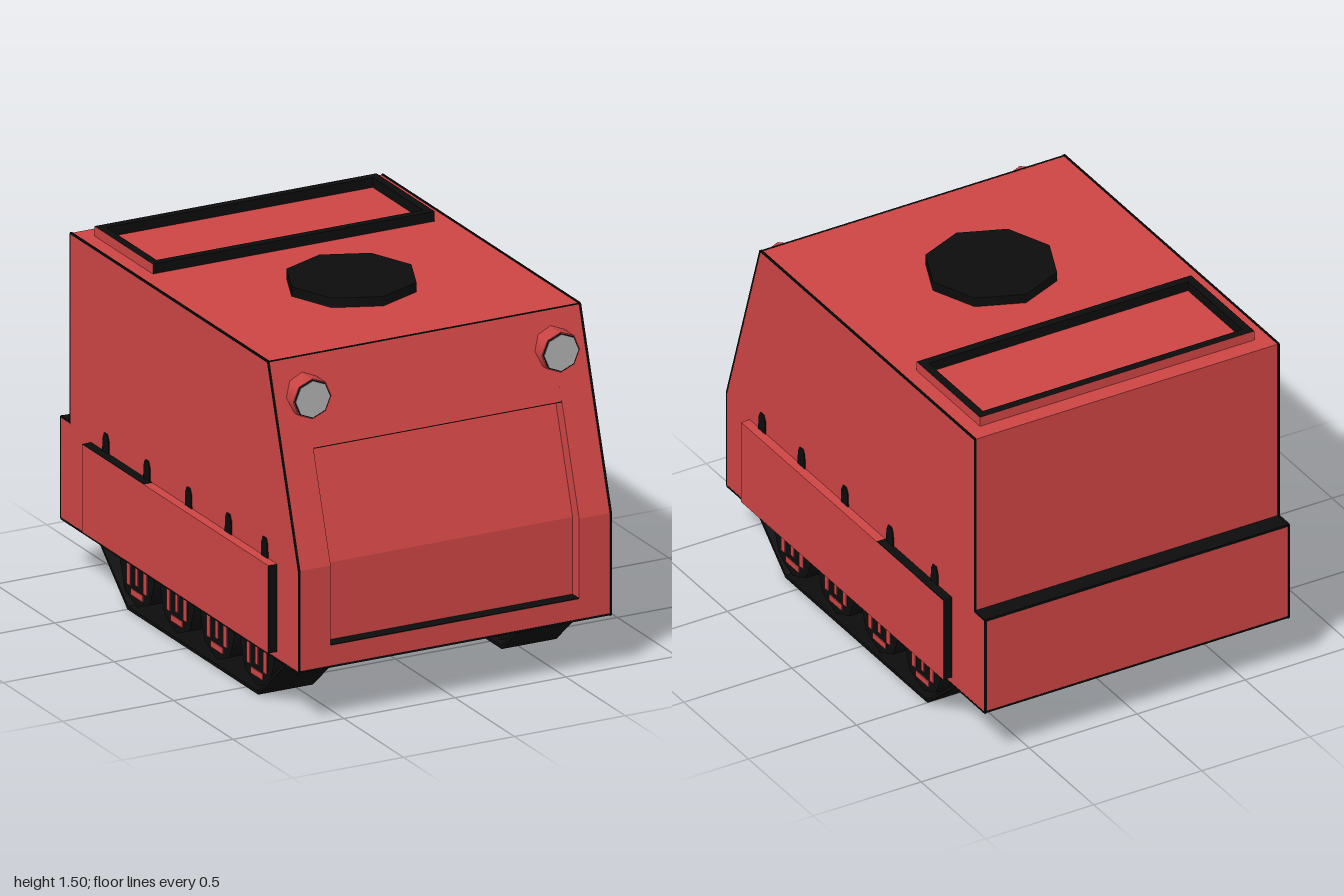
import * as THREE from 'three';

const mat = (name, color) => {
  const m = new THREE.MeshStandardMaterial({ color });
  m.name = name;
  return m;
};

export function createModel() {
  const red = mat('red paint', 0xcc4444);
  const black = mat('black', 0x0c0c0c);
  const grey = mat('lens grey', 0xb0b0b0);
  const root = new THREE.Group();
  root.name = 'trackedVehicle';

  const add = (name, geo, material, parent = root) => {
    const m = new THREE.Mesh(geo, material);
    m.name = name;
    parent.add(m);
    return m;
  };
  // Box given by its limits on each axis
  const box = (name, [x0, x1], [y0, y1], [z0, z1], material, parent) => {
    const g = new THREE.BoxGeometry(x1 - x0, y1 - y0, z1 - z0);
    g.translate((x0 + x1) / 2, (y0 + y1) / 2, (z0 + z1) / 2);
    return add(name, g, material, parent);
  };
  // Extrude a (z, y) outline across x0..x1
  const slab = (pts, x0, x1) => {
    const shape = new THREE.Shape(pts.map(([z, y]) => new THREE.Vector2(z, y)));
    const g = new THREE.ExtrudeGeometry(shape, { depth: x1 - x0, bevelEnabled: false });
    return g.rotateY(-Math.PI / 2).translate(x1, 0, 0);
  };

  // Hull: two full side sections and a middle section with the front recess
  const W = 0.705, R = 0.56;
  const rear = [[0.74, 1.463], [-0.92, 1.463], [-0.92, 0.66], [-1, 0.66], [-1, 0.228]];
  const profile = [[1, 0.228], [1, 0.66], ...rear];
  const recessed = [[1, 0.228], [1, 0.32], [0.945, 0.32], [0.945, 0.65],
    [0.802, 1.093], [0.854, 1.11], ...rear];
  add('hullLeft', slab(profile, R, W), red);
  add('hullRight', slab(profile, -W, -R), red);
  add('hullMiddle', slab(recessed, -R, R), red);

  // Dark floor and ceiling of the front recess
  box('recessFloor', [-R, R], [0.319, 0.323], [0.945, 0.999], black);
  add('recessCeiling', slab([[0.802, 1.089], [0.854, 1.106], [0.854, 1.11], [0.802, 1.093]], -R, R), black);

  // Dark step at the back and lower rear edge
  box('rearStep', [-W, W], [0.658, 0.663], [-1, -0.92], black);
  box('rearLowerEdge', [-W, W], [0.226, 0.23], [-1, -0.965], black);

  // Fine dark edge lines of the hull
  const E = 0.008;
  profile.forEach(([z, y], i) => {
    const [z2, y2] = profile[(i + 1) % profile.length];
    for (const s of [-1, 1]) {
      const line = add('edgeLine', new THREE.BoxGeometry(E, E, Math.hypot(z2 - z, y2 - y)), black);
      line.position.set(s * (W - 0.003), (y + y2) / 2, (z + z2) / 2);
      line.rotation.x = -Math.atan2(y2 - y, z2 - z);
    }
    if (i !== 1 && i !== 3) {
      const cross = add('crossEdgeLine', new THREE.BoxGeometry(2 * W, E, E), black);
      cross.position.set(0, y + (y > 0.5 ? -0.003 : 0.003), z - Math.sign(z) * 0.003);
    }
  });

  // Round roof hatch
  add('roofHatch', new THREE.CylinderGeometry(0.27, 0.27, 0.04, 8).translate(0, 1.484, 0.13), black);

  // Rectangular roof frame: red outside, black rim, front and inner walls
  const frame = new THREE.Group();
  frame.name = 'roofFrame';
  root.add(frame);
  const y0 = 1.46, y1 = 1.505;
  // Box face order: +x, -x, +y, -y, +z, -z
  box('frameFront', [-0.635, 0.635], [y0, y1], [-0.39, -0.355], [red, red, black, black, black, black], frame);
  box('frameBack', [-0.635, 0.635], [y0, y1], [-0.845, -0.81], [red, red, black, black, black, red], frame);
  box('frameLeft', [0.6, 0.635], [y0, y1], [-0.81, -0.39], [red, black, black, black, black, black], frame);
  box('frameRight', [-0.635, -0.6], [y0, y1], [-0.81, -0.39], [black, red, black, black, black, black], frame);

  for (const s of [-1, 1]) {
    const span = (a, b) => (s > 0 ? [a, b] : [-b, -a]);

    // Headlight
    const lamp = new THREE.Group();
    lamp.name = 'headlight';
    lamp.position.set(s * 0.56, 1.315, 0);
    root.add(lamp);
    const disc = (name, r, z0, z1, m) => add(name,
      new THREE.CylinderGeometry(r, r, z1 - z0, 8).rotateX(Math.PI / 2).translate(0, 0, (z0 + z1) / 2), m, lamp);
    disc('lampHousing', 0.086, 0.75, 0.846, red);
    disc('lampRim', 0.082, 0.845, 0.848, black);
    disc('lampLens', 0.077, 0.846, 0.851, grey);

    // Side skirt with dark ends and underside
    box('sideSkirt', span(0.7, 0.745), [0.26, 0.632], [-0.745, 0.82],
      [red, red, red, black, black, black]);
    box('skirtTopStrip', span(0.7, 0.745), [0.63, 0.634], [-0.744, -0.23], black);

    // Small round-topped tabs above the skirt
    for (const z of [0.72, 0.415, 0.08, -0.27, -0.615]) {
      const tab = [[-0.027, 0.63], [0.027, 0.63], [0.024, 0.69], [0.012, 0.714], [-0.012, 0.714], [-0.024, 0.69]]
        .map(([a, b]) => [a + z, b]);
      add('skirtTab', slab(tab, ...span(0.7, 0.71)), black);
    }

    // Track belt
    const belt = [[0.868, 0.23], [0.6, 0], [-0.5, 0], [-0.768, 0.23],
      [-0.748, 0.23], [-0.495, 0.014], [0.595, 0.014], [0.848, 0.23]].reverse();
    add('trackBelt', slab(belt, ...span(0.425, 0.672)), black);

    // Road wheels with red bars on both faces
    for (const z of [0.565, 0.23, -0.108, -0.443]) {
      const wheel = new THREE.Group();
      wheel.name = 'roadWheel';
      wheel.position.set(s * 0.548, 0.17, z);
      root.add(wheel);
      add('wheelDisc', new THREE.CylinderGeometry(0.146, 0.146, 0.22, 8).rotateZ(Math.PI / 2), black, wheel);
      for (const x of [-0.111, 0.111]) {
        const px = [x - 0.003, x + 0.003];
        for (const c of [-0.07, 0.07]) box('wheelBar', px, [-0.07, 0.055], [c - 0.014, c + 0.014], red, wheel);
        box('wheelCentreBar', px, [-0.055, 0.055], [-0.011, 0.011], red, wheel);
        box('wheelLowerBar', px, [-0.106, -0.08], [-0.05, 0.05], red, wheel);
      }
    }
  }
  return root;
}
